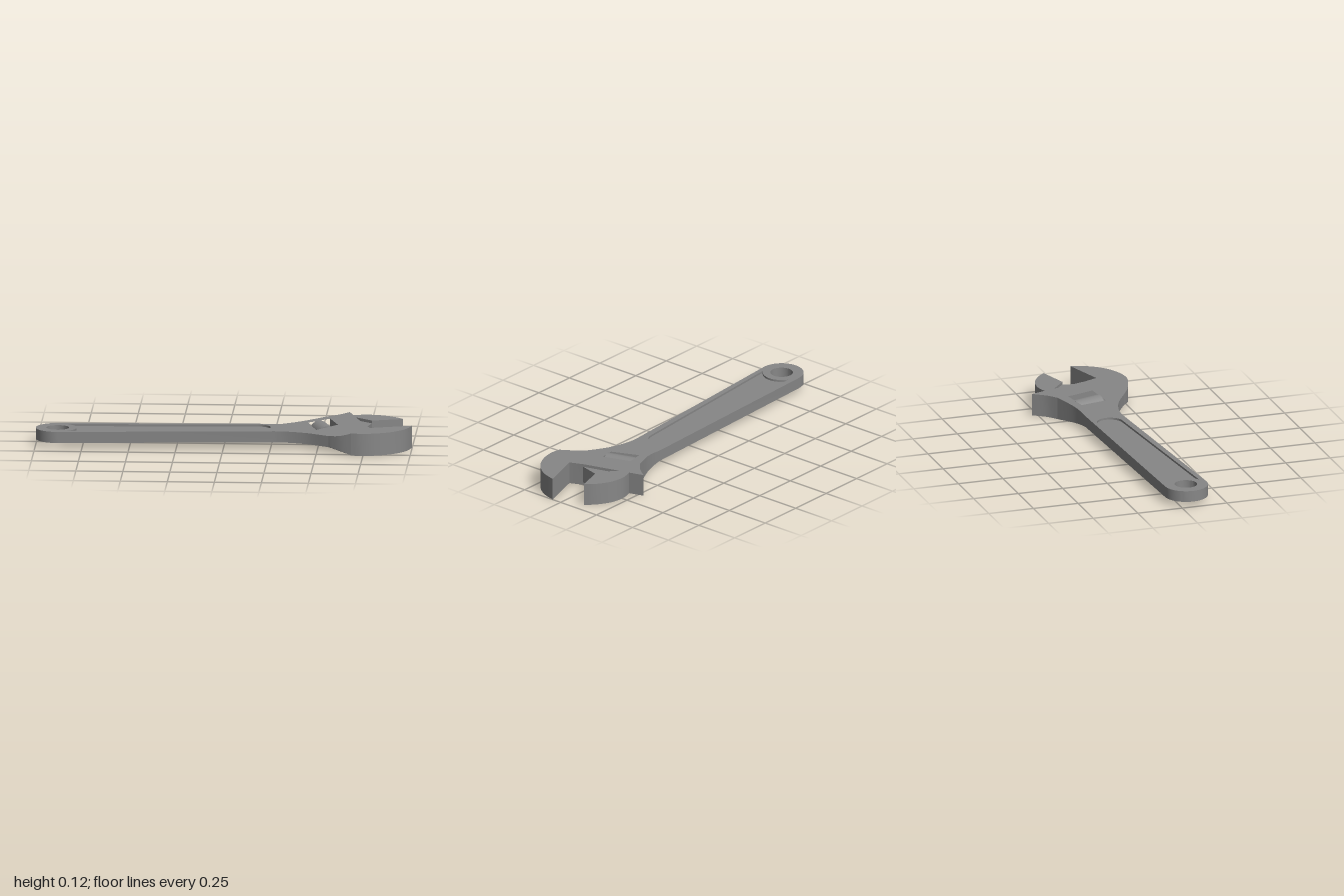
import * as THREE from 'three';
import { toCreasedNormals } from 'three/addons/utils/BufferGeometryUtils.js';

const MID = 0.06; // height of the wrench's middle plane
const material = new THREE.MeshStandardMaterial({ color: 0x878787 });

// All plan points are [x, z]
const arc = (cx, cz, r, from, to, n = 20) => Array.from({ length: n + 1 }, (_, i) => {
  const a = THREE.MathUtils.degToRad(from + (to - from) * i / n);
  return [cx + r * Math.cos(a), cz + r * Math.sin(a)];
});

const spline = (pts, perSpan = 3) =>
  new THREE.SplineCurve(pts.map(p => new THREE.Vector2(...p)))
    .getPoints((pts.length - 1) * perSpan).map(p => [p.x, p.y]);

// Half thickness: thin handle, slanted ramp, thick head
function bodyHalf(x, z) {
  const low = 0.3 + (z + 0.1) * 0.86;
  const high = 0.55 + (z + 0.17) * 0.31;
  return 0.03 + 0.03 * THREE.MathUtils.clamp((x - low) / (high - low), 0, 1);
}

// Upright prism over a plan outline, symmetric about the middle plane
function prism(name, outline, half, holes = []) {
  const toVec = p => new THREE.Vector2(p[0], -p[1]);
  const shape = new THREE.Shape(outline.map(toVec));
  shape.holes = holes.map(h => new THREE.Path(h.map(toVec)));
  const extruded = new THREE.ExtrudeGeometry(shape, { depth: 1, bevelEnabled: false });
  extruded.rotateX(-Math.PI / 2);
  const pos = extruded.attributes.position;
  for (let i = 0; i < pos.count; i++) {
    const h = half(pos.getX(i), pos.getZ(i));
    pos.setY(i, MID + (pos.getY(i) - 0.5) * 2 * h);
  }
  const geo = toCreasedNormals(extruded, 0.5);
  // Blend the ramp into the flat faces with even normals
  const normal = geo.attributes.normal;
  for (let i = 0; i < normal.count; i++) {
    const ny = normal.getY(i);
    if (Math.abs(ny) > 0.7) normal.setXYZ(i, 0, Math.sign(ny), 0);
  }
  const mesh = new THREE.Mesh(geo, material);
  mesh.name = name;
  return mesh;
}

export function createModel() {
  const wrench = new THREE.Group();
  wrench.name = 'adjustableWrench';

  // Shared edges of the handle, neck and head
  const backNeck = spline([[0.3, -0.098], [0.36, -0.104], [0.42, -0.117], [0.48, -0.14], [0.55, -0.172]]);
  const backHorn = spline([[0.55, -0.172], [0.6, -0.213], [0.65, -0.28]]);
  const frontHandle = spline([[0.27, 0.095], [0.33, 0.1], [0.4, 0.118], [0.47, 0.147], [0.563, 0.205]]);
  const frontNeck = spline([[0.563, 0.205], [0.625, 0.247], [0.687, 0.272]]);
  const fixedJawArc = spline([[1, 0.055], [0.977, 0.13], [0.94, 0.187], [0.885, 0.236], [0.81, 0.27],
    [0.74, 0.28], [0.687, 0.272]], 4);
  const movingJawArc = spline([[0.675, -0.2], [0.715, -0.213], [0.76, -0.217], [0.82, -0.206],
    [0.875, -0.178], [0.915, -0.147], [0.943, -0.115]]);

  // Handle with hanging hole and recessed panel on both faces
  const eye = [-0.883, 0.06];
  const panel = [...arc(...eye, 0.1, -62, 62), ...arc(0.175, -0.004, 0.07, 86, -92)];
  const hangingHole = arc(...eye, 0.06, 0, 351, 39);
  const handle = [...arc(...eye, 0.117, 268, 86, 32), ...frontHandle, backNeck[0]];
  wrench.add(prism('handle', handle, bodyHalf, [hangingHole, panel]));
  wrench.add(prism('handlePanel', panel, () => 0.019));

  // Neck thickening towards the head, with a slanted window for the worm
  const tilt = 0.31, c = Math.cos(tilt), s = Math.sin(tilt);
  const wormX = 0.523, wormZ = -0.015;
  const wormWindow = [[-1, -1], [1, -1], [1, 1], [-1, 1]].map(([a, b]) =>
    [wormX + a * 0.06 * c + b * 0.08 * s, wormZ - a * 0.06 * s + b * 0.08 * c]);
  const neck = [...backNeck, ...[...frontNeck].reverse()];
  wrench.add(prism('neck', neck, bodyHalf, [wormWindow]));

  // Head with fixed and moving jaws
  const head = [...backHorn, ...movingJawArc, [0.78, -0.065], [0.69, -0.145], [0.75, 0.055],
    [0.78, 0.125], ...fixedJawArc];
  wrench.add(prism('jaws', head, bodyHalf));

  // Slide of the moving jaw, slightly thinner than the head
  wrench.add(prism('jawSlide', [[0.69, -0.145], [0.78, -0.065], [0.75, 0.055]], () => 0.045));

  // Adjusting worm
  const worm = new THREE.Mesh(new THREE.CylinderGeometry(0.052, 0.052, 0.16, 32).rotateX(Math.PI / 2), material);
  worm.name = 'adjustingWorm';
  worm.position.set(wormX, MID, wormZ);
  worm.rotation.y = tilt;
  wrench.add(worm);

  return wrench;
}
